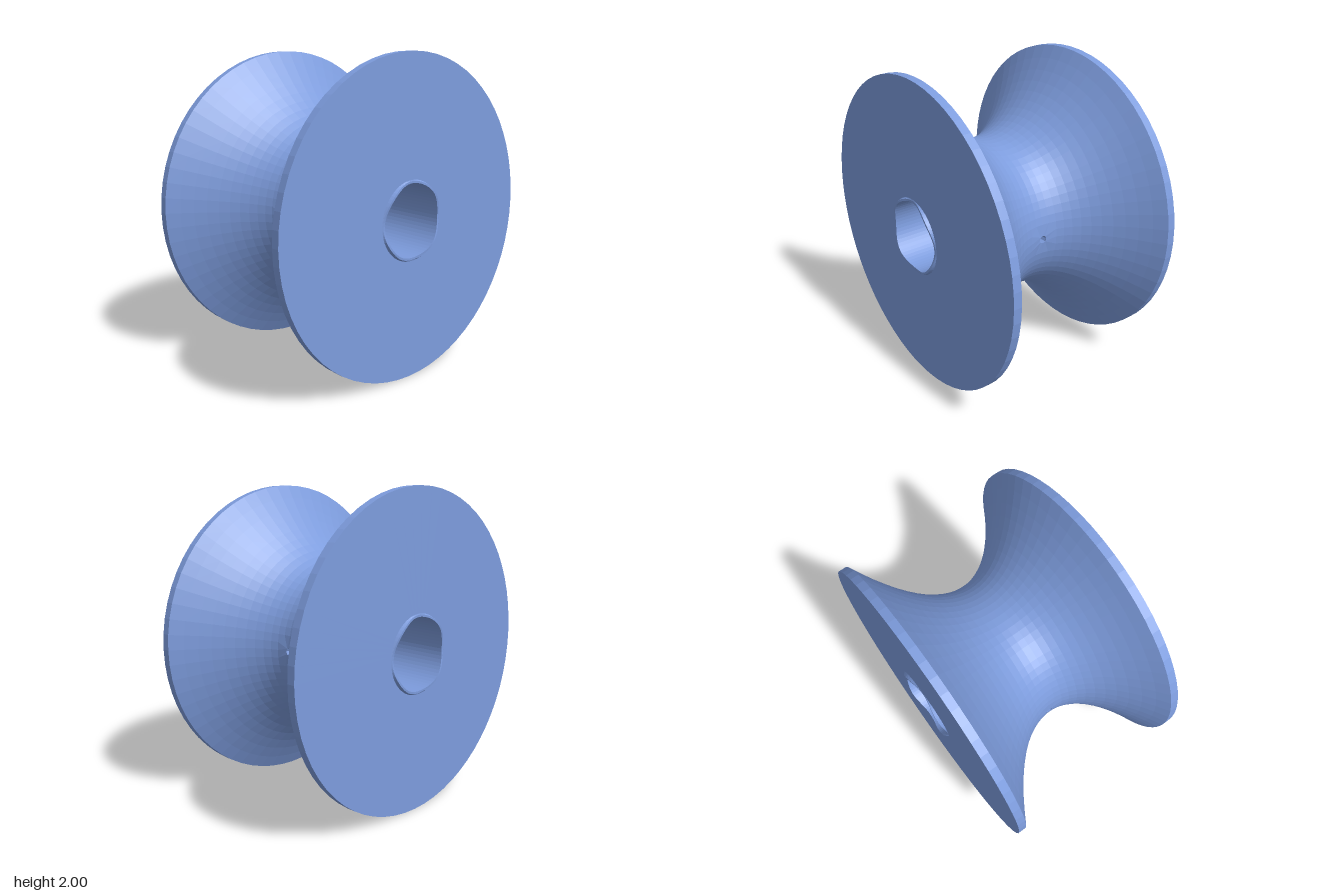
import * as THREE from 'three';

const SIDES = 64, ROWS = 24;      // divisions around and along the axle
const FLANGE = 0.557, END = 0.61; // inner and outer face of each flange
const BORE = 0.23, PIN = 0.025;   // axle bore and pin hole radii

// Tube around the x axis with a small round hole through its front and back
function piercedTube(halfLength, radiusAt, inward) {
  const positions = [], indices = [];
  const mid = ROWS / 2, half = SIDES / 2;
  for (let i = 0; i <= ROWS; i++) {
    for (let j = 0; j < SIDES; j++) {
      let x = (i / mid - 1) * halfLength;
      const a = (j / SIDES) * Math.PI * 2;
      let r = radiusAt(x), y = r * Math.sin(a), z = r * Math.cos(a);
      const dj = Math.round(Math.sin(a) * SIDES / (Math.PI * 2)), di = i - mid;
      // snap the vertices beside a hole centre onto its rim
      if (Math.abs(di) <= 1 && Math.abs(dj) <= 1 && (di || dj)) {
        const t = Math.atan2(dj, di);
        x = PIN * Math.cos(t);
        y = PIN * Math.sin(t);
        r = radiusAt(x);
        z = Math.sign(z) * Math.sqrt(r * r - y * y);
      }
      positions.push(x, y, z);
    }
  }
  for (let i = 0; i < ROWS; i++) {
    for (let j = 0; j < SIDES; j++) {
      const k = (j + 1) % SIDES;
      const openRow = i === mid || i + 1 === mid;
      if (openRow && [j, k].some((n) => n % half === 0)) continue;
      const a = i * SIDES + j, b = a + SIDES, d = i * SIDES + k, c = d + SIDES;
      if (inward) indices.push(a, c, b, a, d, c);
      else indices.push(a, b, c, a, c, d);
    }
  }
  const geometry = new THREE.BufferGeometry();
  geometry.setAttribute('position', new THREE.Float32BufferAttribute(positions, 3));
  geometry.setIndex(indices);
  geometry.computeVertexNormals();
  return geometry;
}

// Flange rim and end face, with a low scalloped lip around the bore
function flangeGeometry() {
  const profile = [
    [1, FLANGE], [1, END], [0.25, END], [0.243, END + 0.02], [BORE, END + 0.02], [BORE, END],
  ].map(([r, h]) => new THREE.Vector2(r, h));
  const geometry = new THREE.LatheGeometry(profile, SIDES);
  const p = geometry.attributes.position;
  for (let i = 0; i < p.count; i++) {
    if (p.getY(i) < END + 0.01) continue;
    const a = Math.atan2(p.getZ(i), p.getX(i));
    p.setY(i, END + 0.012 - 0.01 * Math.cos(4 * a));
  }
  geometry.computeVertexNormals();
  return geometry;
}

export function createModel() {
  const group = new THREE.Group();
  const material = new THREE.MeshStandardMaterial({
    color: 0x7d9cdd, flatShading: true, side: THREE.DoubleSide,
  });
  const add = (name, geometry) => {
    const mesh = new THREE.Mesh(geometry, material);
    mesh.name = name;
    mesh.position.y = 1;
    group.add(mesh);
    return mesh;
  };

  // Concave waist, narrowest just off centre
  const waistRadius = (x) => {
    const d = x - 0.015;
    const t = d / (FLANGE - Math.sign(d) * 0.015);
    return 0.5 + 0.5 * t * t;
  };
  add('waist', piercedTube(FLANGE, waistRadius, false));
  add('bore', piercedTube(END, () => BORE, true));

  // Flanges at both ends
  const flange = flangeGeometry();
  add('leftFlange', flange).rotation.z = -Math.PI / 2;
  add('rightFlange', flange).rotation.z = Math.PI / 2;

  // Pin hole walls, front and back
  for (const s of [1, -1]) {
    const wall = new THREE.CylinderGeometry(PIN, PIN, 0.272, 8, 1, true);
    wall.rotateX(Math.PI / 2);
    add(s > 0 ? 'frontPinHole' : 'backPinHole', wall).position.z = s * 0.364;
  }
  return group;
}
